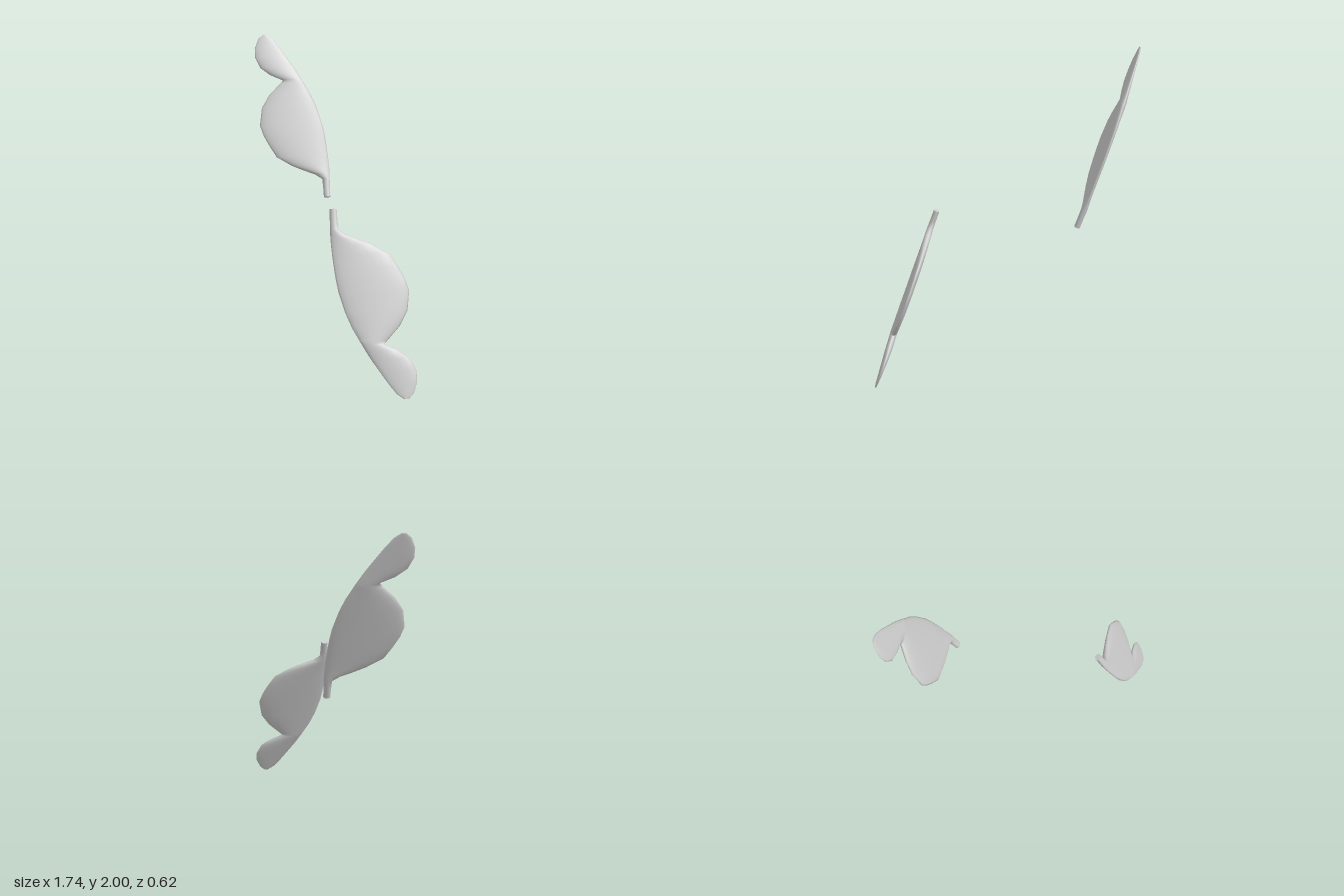
import * as THREE from 'three';

// Blade sections: [y, front edge z, back edge z, half thickness], root to tip
const SECTIONS = [
  [0.967, -0.223, -0.26, 0.018], [1.03, -0.232, -0.272, 0.018], [1.08, -0.238, -0.281, 0.019],
  [1.11, -0.2, -0.287, 0.02], [1.135, -0.14, -0.291, 0.021], [1.165, -0.08, -0.295, 0.022],
  [1.22, -0.005, -0.301, 0.023], [1.29, 0.022, -0.307, 0.024], [1.355, 0.042, -0.311, 0.024],
  [1.42, 0.05, -0.312, 0.024], [1.53, 0.016, -0.302, 0.024], [1.61, -0.042, -0.286, 0.023],
  [1.685, -0.122, -0.262, 0.022], [1.705, -0.143, -0.255, 0.022], [1.74, -0.074, -0.243, 0.021],
  [1.785, -0.027, -0.226, 0.02], [1.85, -0.011, -0.197, 0.016], [1.91, -0.021, -0.17, 0.012],
  [1.97, -0.053, -0.138, 0.008], [1.998, -0.085, -0.107, 0.005],
];
const SIDES = 20;
const NORMAL = new THREE.Vector3(0.83, 0.34, 0.44).normalize();

// The flat blade lies in one tilted plane: 0.83x + 0.34y + 0.44z = -0.075
const planeX = (y, z) => (-0.075 - 0.34 * y - 0.44 * z) / 0.83;

function bladeGeometry(inverted) {
  const pos = [], idx = [];
  const addRing = ([y, zf, zb, h]) => {
    const start = pos.length / 3;
    for (let j = 0; j < SIDES; j++) {
      const t = (j / SIDES) * Math.PI * 2;
      const z = (zf + zb) / 2 + ((zf - zb) / 2) * Math.cos(t);
      const p = new THREE.Vector3(planeX(y, z), y, z).addScaledVector(NORMAL, h * Math.sin(t));
      pos.push(p.x, p.y, p.z);
    }
    return start;
  };
  const addCap = (section, up) => {
    const ring = addRing(section), centre = pos.length / 3;
    const [y, zf, zb] = section, z = (zf + zb) / 2;
    pos.push(planeX(y, z), y, z);
    for (let j = 0; j < SIDES; j++) {
      const a = ring + j, b = ring + ((j + 1) % SIDES);
      idx.push(centre, up ? a : b, up ? b : a);
    }
  };

  // Lens-shaped skin
  const rings = SECTIONS.map(addRing);
  for (let i = 0; i < rings.length - 1; i++) {
    for (let j = 0; j < SIDES; j++) {
      const k = (j + 1) % SIDES;
      const a = rings[i] + j, b = rings[i] + k, c = rings[i + 1] + j, d = rings[i + 1] + k;
      idx.push(a, b, c, b, d, c);
    }
  }
  // Closed root and tip
  addCap(SECTIONS[0], false);
  addCap(SECTIONS[SECTIONS.length - 1], true);

  const g = new THREE.BufferGeometry();
  g.setAttribute('position', new THREE.Float32BufferAttribute(pos, 3));
  if (inverted) {
    // Opposite blade: mirrored through the hub centre at (0, 1, 0)
    g.scale(-1, -1, -1).translate(0, 2, 0);
    idx.reverse();
  }
  g.setIndex(idx);
  g.computeVertexNormals();
  return g;
}

export function createModel() {
  const group = new THREE.Group();
  group.name = 'bladePair';
  const material = new THREE.MeshStandardMaterial({ color: 0xcccccc });
  for (const [name, inverted] of [['upperBlade', false], ['lowerBlade', true]]) {
    const blade = new THREE.Mesh(bladeGeometry(inverted), material);
    blade.name = name;
    group.add(blade);
  }
  return group;
}
